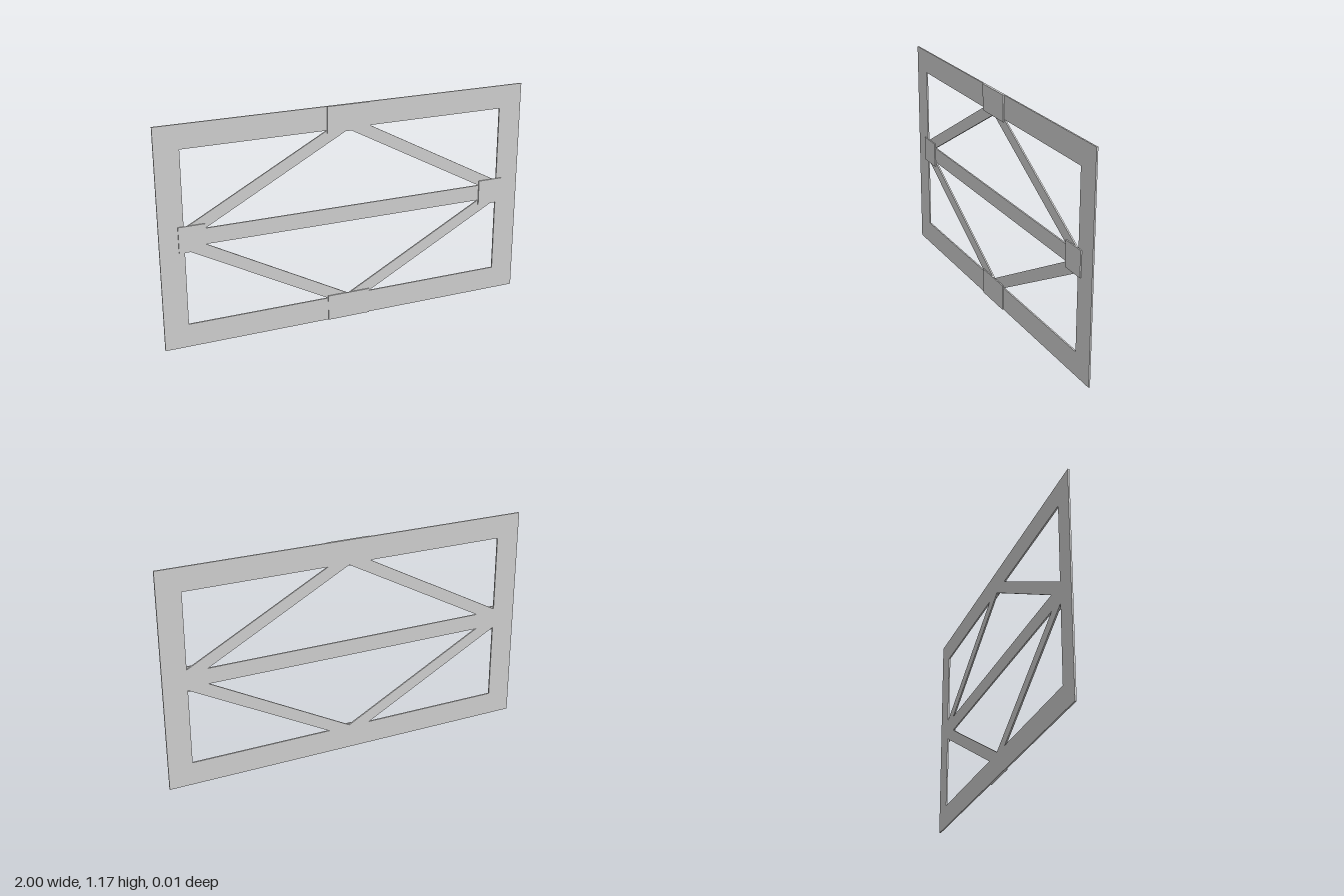
import * as THREE from 'three';

const W = 1, H = 1.166, MID = H / 2;      // half width, height, centre line
const IN_X = 0.873, IN_LOW = 0.124;       // frame opening
const BACK = -0.007, FACE = 0.001, FRONT = 0.007;

const material = new THREE.MeshStandardMaterial({ color: 0xcccccc });

// Flat panel cut from an outline, from the back plane to the frame face
function panel(name, shape) {
  const geometry = new THREE.ExtrudeGeometry(shape, { depth: FACE - BACK, bevelEnabled: false });
  geometry.translate(0, 0, BACK);
  const mesh = new THREE.Mesh(geometry, material);
  mesh.name = name;
  return mesh;
}

function outline(points) {
  return new THREE.Shape(points.map(([x, y]) => new THREE.Vector2(x, y)));
}

function rectangle(x0, x1, y0, y1) {
  return outline([[x0, y0], [x1, y0], [x1, y1], [x0, y1]]);
}

// Joint plate lying on the front face
function plate(name, width, height, x, y) {
  const mesh = new THREE.Mesh(new THREE.BoxGeometry(width, height, FRONT - FACE), material);
  mesh.position.set(x, y, (FRONT + FACE) / 2);
  mesh.name = name;
  return mesh;
}

export function createModel() {
  const model = new THREE.Group();
  model.name = 'bracedPanel';

  // Outer frame with a rectangular opening
  const frame = rectangle(-W, W, 0, H);
  frame.holes.push(rectangle(-IN_X, IN_X, IN_LOW, H - IN_LOW));
  model.add(panel('frame', frame));

  // Middle rail
  model.add(panel('middleRail', rectangle(-IN_X, IN_X, MID - 0.042, MID + 0.042)));

  // Four diagonal braces, trimmed against the frame and the rail
  const top = MID - IN_LOW;
  const brace = [[0, top], [0, top - 0.007], [0.765, 0.042], [IN_X, 0.042], [IN_X, 0.055], [0.117, top]];
  for (const sx of [-1, 1]) {
    for (const sy of [-1, 1]) {
      const name = (sy > 0 ? 'upper' : 'lower') + (sx > 0 ? 'Left' : 'Right') + 'Brace';
      model.add(panel(name, outline(brace.map(([x, y]) => [sx * x, MID + sy * y]))));
    }
  }

  // Joint plates at the ends of the braces
  model.add(plate('topPlate', 0.234, 0.138, 0, H - 0.069));
  model.add(plate('bottomPlate', 0.234, 0.138, 0, 0.069));
  model.add(plate('leftPlate', 0.138, 0.136, 0.834, MID));
  model.add(plate('rightPlate', 0.138, 0.136, -0.834, MID));

  return model;
}
